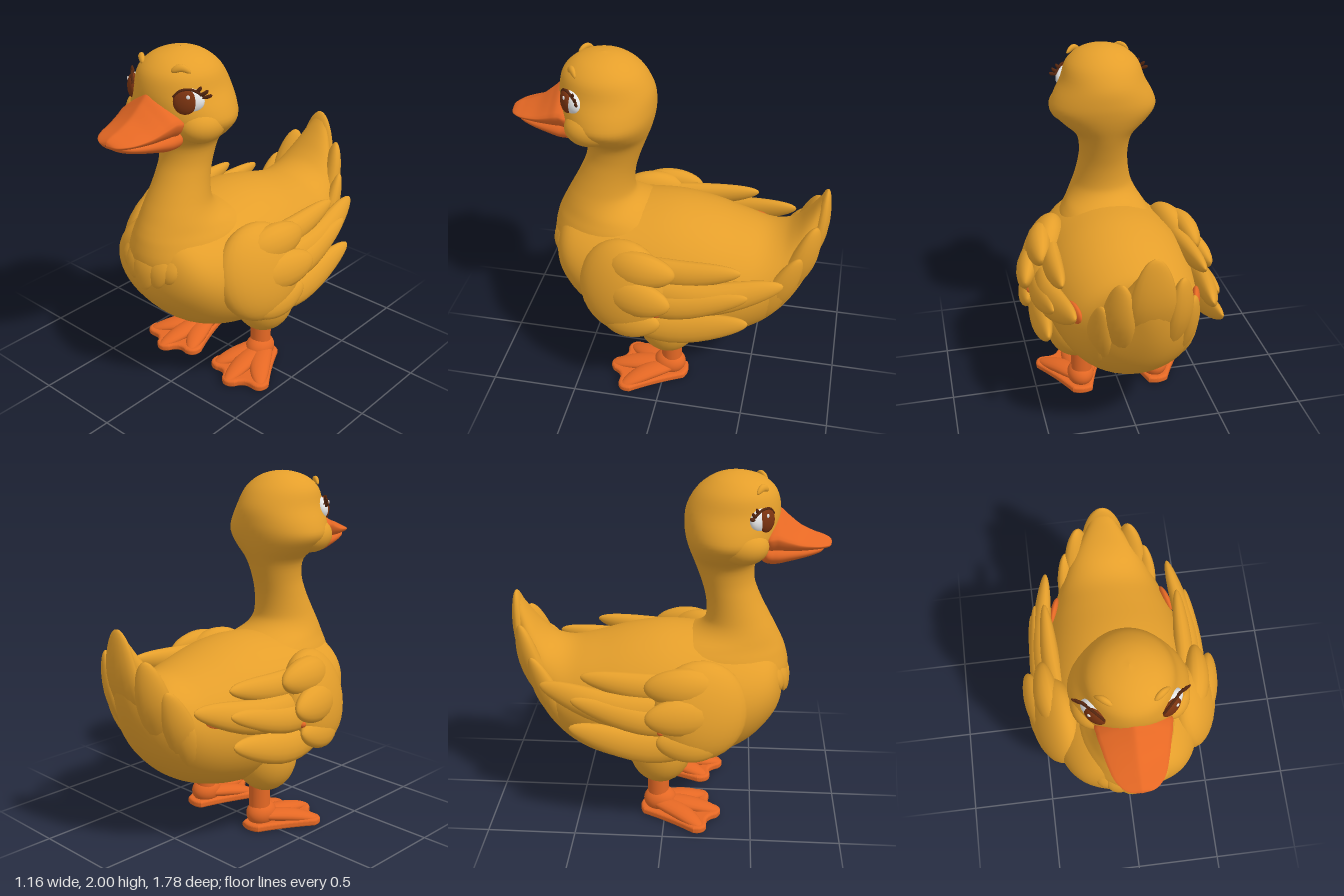
import * as THREE from 'three';

const mat = (name, color) => {
  const m = new THREE.MeshStandardMaterial({ color });
  m.name = name;
  return m;
};
const V = (x, y, z) => new THREE.Vector3(x, y, z);

// Closed skin over elliptical rings; ring(u) gives centre c, half axes a and b, and an optional top pinch
function loft(n, m, ring) {
  const pos = [], idx = [];
  const r0 = ring(0.45), r1 = ring(0.55);
  const flip = r0.a.clone().cross(r0.b).dot(r1.c.clone().sub(r0.c)) < 0 ? -1 : 1;
  for (let i = 0; i <= n; i++) {
    const { c, a, b, pinch = 0 } = ring(i / n);
    for (let j = 0; j < m; j++) {
      const t = (j / m) * Math.PI * 2, s = Math.sin(t);
      const k = flip * Math.cos(t) * (1 - pinch * Math.max(0, s));
      pos.push(c.x + a.x * k + b.x * s, c.y + a.y * k + b.y * s, c.z + a.z * k + b.z * s);
      if (i < n) {
        const p = i * m + j, q = i * m + ((j + 1) % m);
        idx.push(p, q, q + m, p, q + m, p + m);
      }
    }
  }
  const g = new THREE.BufferGeometry();
  g.setAttribute('position', new THREE.Float32BufferAttribute(pos, 3));
  g.setIndex(idx);
  g.computeVertexNormals();
  return g;
}

// Smooth interpolation of rows [station, low, high, halfWidth]
function profile(rows) {
  const p = new THREE.CatmullRomCurve3(rows.map(r => V(r[0], r[1], r[2])), false, 'catmullrom', 0.5);
  const w = new THREE.CatmullRomCurve3(rows.map(r => V(r[3], 0, 0)), false, 'catmullrom', 0.5);
  return u => {
    const q = p.getPoint(u);
    return { s: q.x, mid: (q.y + q.z) / 2, half: Math.max(0.001, Math.abs(q.z - q.y) / 2), w: Math.max(0.001, w.getPoint(u).x) };
  };
}
const loftZ = (rows, pinch = 0) => {
  const f = profile(rows);
  return loft(60, 48, u => { const q = f(u); return { c: V(0, q.mid, q.s), a: V(q.w, 0, 0), b: V(0, q.half, 0), pinch }; });
};
const loftY = rows => {
  const f = profile(rows);
  return loft(72, 48, u => { const q = f(u); return { c: V(0, q.s, q.mid), a: V(q.w, 0, 0), b: V(0, 0, q.half) }; });
};

// Curved, tapering feather from a through m to b, its flat face along normal
function feather(a, m, b, width, thick, normal) {
  const curve = new THREE.CatmullRomCurve3([a, m, b]);
  return loft(18, 16, v => {
    const u = (1 - Math.cos(Math.PI * v)) / 2;
    const r = Math.max(0.002, Math.sin(Math.PI * v) * (1.1 - 0.25 * u));
    const d = curve.getTangent(u);
    const side = normal.clone().cross(d).normalize();
    const up = d.clone().cross(side).normalize();
    return { c: curve.getPoint(u), a: side.multiplyScalar(width * r), b: up.multiplyScalar(thick * r) };
  });
}

export function createModel() {
  const duck = new THREE.Group();
  duck.name = 'duck';
  const yellow = mat('golden plumage', 0xe59f2b), orange = mat('orange skin', 0xe56824);
  const brown = mat('brown iris', 0x7a3310), dark = mat('dark lashes', 0x55260f), white = mat('eye white', 0xe6e6e6);

  const add = (name, geo, material, parent = duck) => {
    const mesh = new THREE.Mesh(geo, material);
    mesh.name = name;
    parent.add(mesh);
    return mesh;
  };
  const ball = (name, p, size, material, parent = duck) => {
    const mesh = add(name, new THREE.SphereGeometry(1, 28, 18), material, parent);
    mesh.position.set(...p);
    mesh.scale.set(...size);
    return mesh;
  };

  // Body sweeping up into the tail: z, bottom, top, half width
  add('body', loftZ([
    [0.66, 0.79, 0.81, 0], [0.645, 0.67, 0.93, 0.17], [0.58, 0.56, 1.02, 0.3], [0.45, 0.43, 1.06, 0.385],
    [0.25, 0.33, 1.085, 0.43], [0, 0.275, 1.105, 0.44], [-0.2, 0.275, 1.08, 0.425], [-0.4, 0.325, 1.025, 0.385],
    [-0.54, 0.395, 0.995, 0.335], [-0.64, 0.48, 1.015, 0.285], [-0.71, 0.565, 1.07, 0.235], [-0.77, 0.67, 1.15, 0.175],
    [-0.82, 0.79, 1.23, 0.115], [-0.855, 0.92, 1.28, 0.07], [-0.875, 1.08, 1.2, 0],
  ]), yellow);

  // Neck and head: y, back, front, half width
  add('neckAndHead', loftY([
    [0.7, 0.35, 0.56, 0], [0.78, 0.12, 0.66, 0.24], [0.88, 0, 0.688, 0.295], [0.98, -0.1, 0.67, 0.275], [1.04, -0.02, 0.647, 0.24],
    [1.09, 0.13, 0.622, 0.207], [1.14, 0.2, 0.597, 0.183], [1.2, 0.218, 0.565, 0.165], [1.3, 0.21, 0.515, 0.147], [1.4, 0.182, 0.48, 0.142],
    [1.5, 0.145, 0.485, 0.165], [1.58, 0.115, 0.54, 0.25], [1.65, 0.097, 0.585, 0.303], [1.72, 0.09, 0.6, 0.288],
    [1.81, 0.1, 0.606, 0.24], [1.9, 0.15, 0.583, 0.207], [1.96, 0.22, 0.52, 0.145], [1.99, 0.29, 0.44, 0.07], [2.0, 0.36, 0.37, 0],
  ]), yellow);

  // Bill with a narrow ridge and a closed mouth
  add('upperBill', loftZ([
    [0.5, 1.68, 1.7, 0.02], [0.53, 1.575, 1.79, 0.18], [0.59, 1.565, 1.812, 0.188], [0.65, 1.57, 1.765, 0.174], [0.72, 1.58, 1.71, 0.157],
    [0.8, 1.592, 1.672, 0.132], [0.85, 1.597, 1.655, 0.1], [0.878, 1.602, 1.64, 0.06], [0.888, 1.618, 1.622, 0],
  ], 0.72), orange);
  add('lowerBill', loftZ([
    [0.49, 1.55, 1.57, 0.02], [0.52, 1.515, 1.65, 0.16], [0.58, 1.505, 1.65, 0.17], [0.66, 1.522, 1.64, 0.152],
    [0.76, 1.548, 1.63, 0.12], [0.83, 1.572, 1.625, 0.078], [0.855, 1.595, 1.61, 0],
  ]), orange);

  // Scalloped breast edge
  for (const [x, tip, z, w] of [[0, 0.715, 0.668, 0.09], [0.085, 0.75, 0.655, 0.075], [-0.085, 0.75, 0.655, 0.075], [0.145, 0.785, 0.63, 0.07], [-0.145, 0.785, 0.63, 0.07]])
    add('breastFeather', feather(V(x * 0.9, 1.0, z - 0.1), V(x, 0.87, z - 0.01), V(x, tip, z + 0.016), w, 0.034, V(x, 0.1, 0.7)), yellow);

  // Central tail feather
  add('tailFeather', feather(V(0, 0.62, -0.64), V(0, 0.98, -0.815), V(0, 1.29, -0.86), 0.13, 0.055, V(0, 0.3, -1)), yellow);

  // Belly skin between the legs
  ball('bellySkin', [0, 0.302, -0.02], [0.23, 0.044, 0.13], orange);

  for (const s of [1, -1]) {
    const side = s > 0 ? 'left' : 'right';
    const P = (x, y, z) => V(s * x, y, z);

    // Outer tail feathers
    add('tailFeather', feather(P(0.12, 0.55, -0.58), P(0.16, 0.88, -0.75), P(0.155, 1.14, -0.82), 0.1, 0.06, P(0.7, 0.3, -0.9)), yellow);
    add('tailFeather', feather(P(0.18, 0.5, -0.52), P(0.235, 0.74, -0.65), P(0.24, 0.98, -0.75), 0.09, 0.055, P(0.9, 0.2, -0.7)), yellow);
    add('tailFeather', feather(P(0.2, 0.46, -0.47), P(0.25, 0.64, -0.59), P(0.26, 0.86, -0.7), 0.08, 0.045, P(0.9, 0.1, -0.6)), yellow);

    // Wing
    const wing = new THREE.Group();
    wing.name = side + 'Wing';
    duck.add(wing);
    const shoulder = ball('wingShoulder', [s * 0.405, 0.775, 0.205], [0.125, 0.275, 0.262], yellow, wing);
    shoulder.rotation.set(0, -0.24 * s, 0.27 * s);
    const plumes = [
      ['flightFeather', P(0.36, 0.9, 0.2), P(0.39, 0.9, -0.1), P(0.395, 0.955, -0.45), 0.08, 0.055],
      ['flightFeather', P(0.42, 0.78, 0.15), P(0.44, 0.78, -0.25), P(0.37, 0.885, -0.68), 0.1, 0.062],
      ['flightFeather', P(0.44, 0.62, 0.26), P(0.47, 0.58, -0.08), P(0.485, 0.685, -0.51), 0.1, 0.058],
      ['flightFeather', P(0.45, 0.71, 0.18), P(0.475, 0.74, -0.12), P(0.455, 0.84, -0.5), 0.08, 0.05],
      ['coverFeather', P(0.39, 0.9, 0.3), P(0.435, 0.925, 0.1), P(0.45, 0.925, -0.1), 0.11, 0.075],
      ['coverFeather', P(0.45, 0.78, 0.3), P(0.505, 0.785, 0.1), P(0.545, 0.785, -0.09), 0.11, 0.065],
      ['coverFeather', P(0.45, 0.61, 0.32), P(0.5, 0.61, 0.15), P(0.53, 0.64, -0.03), 0.1, 0.06],
    ];
    for (const [name, a, m, b, w, t] of plumes) add(name, feather(a, m, b, w, t, P(1, 0.25, 0)), yellow, wing);
    ball('wingSkin', [s * 0.495, 0.69, -0.005], [0.035, 0.024, 0.026], orange, wing);
    const patch = ball(side + 'FlankSkin', [s * 0.338, 0.795, -0.47], [0.024, 0.06, 0.085], orange);
    patch.rotation.y = 0.3 * s;

    // Thigh, shank and webbed foot
    ball(side + 'Thigh', [s * 0.255, 0.45, -0.025], [0.175, 0.21, 0.18], yellow);
    const shank = add(side + 'Shank', new THREE.CylinderGeometry(0.06, 0.062, 0.24, 24), orange);
    shank.position.set(s * 0.225, 0.17, -0.04);
    const foot = new THREE.Group();
    foot.name = side + 'Foot';
    duck.add(foot);
    const web = new THREE.Shape();
    web.moveTo(s * 0.19, -0.115);
    web.quadraticCurveTo(s * 0.235, -0.135, s * 0.28, -0.11);
    web.quadraticCurveTo(s * 0.35, 0.04, s * 0.45, 0.18);
    web.quadraticCurveTo(s * 0.455, 0.235, s * 0.405, 0.23);
    web.quadraticCurveTo(s * 0.33, 0.22, s * 0.3, 0.29);
    web.quadraticCurveTo(s * 0.265, 0.325, s * 0.235, 0.29);
    web.quadraticCurveTo(s * 0.2, 0.21, s * 0.125, 0.235);
    web.quadraticCurveTo(s * 0.075, 0.235, s * 0.08, 0.18);
    web.quadraticCurveTo(s * 0.15, 0.03, s * 0.19, -0.115);
    const webGeo = new THREE.ExtrudeGeometry(web, { depth: 0.016, bevelThickness: 0.014, bevelSize: 0.018, bevelSegments: 4, curveSegments: 10 });
    webGeo.rotateX(Math.PI / 2).translate(0, 0.031, 0);
    add('web', webGeo, orange, foot);
    for (const [x, z] of [[0.1, 0.235], [0.268, 0.325], [0.445, 0.225]])
      add('toe', feather(P(0.225, 0.085, -0.1), P((0.225 + x) / 2, 0.062, z * 0.42), P(x, 0.032, z), 0.062, 0.036, V(0, 1, 0)), orange, foot);
    ball('ankle', [s * 0.23, 0.085, -0.03], [0.08, 0.075, 0.095], orange, foot);

    // Cheek and brow
    ball(side + 'Cheek', [s * 0.186, 1.645, 0.41], [0.115, 0.1, 0.135], yellow);
    add(side + 'Brow', feather(P(0.1, 1.928, 0.53), P(0.14, 1.948, 0.5), P(0.18, 1.925, 0.472), 0.02, 0.015, P(0.4, 0.4, 0.8)), yellow);

    // Eye, turned to face forward and outward
    const eye = new THREE.Group();
    eye.name = side + 'Eye';
    eye.position.set(s * 0.178, 1.787, 0.497);
    eye.quaternion.setFromUnitVectors(V(0, 0, 1), P(0.62, 0.06, 0.78).normalize());
    duck.add(eye);
    ball('eyeWhite', [0, 0, 0], [0.084, 0.066, 0.045], white, eye);
    ball('iris', [-s * 0.012, 0, 0.025], [0.06, 0.065, 0.03], brown, eye);
    ball('glint', [s * 0.006, 0.032, 0.05], [0.01, 0.011, 0.005], white, eye);
    const lid = new THREE.CatmullRomCurve3([V(-s * 0.07, 0.025, 0.03), V(-s * 0.035, 0.058, 0.034), V(s * 0.02, 0.064, 0.028), V(s * 0.085, 0.028, 0.012)]);
    add('upperLashLine', new THREE.TubeGeometry(lid, 20, 0.007, 8), dark, eye);
    for (const [x, y, dx, dy] of [[0.045, 0.054, 0.022, 0.028], [0.066, 0.04, 0.036, 0.026], [0.082, 0.028, 0.04, 0.014]])
      add('lash', feather(V(s * (x - 0.01), y - 0.008, 0.016), V(s * (x + dx * 0.6), y + dy * 0.4, 0.022), V(s * (x + dx), y + dy, 0.025), 0.01, 0.007, V(0, 0, 1)), dark, eye);
  }
  return duck;
}
